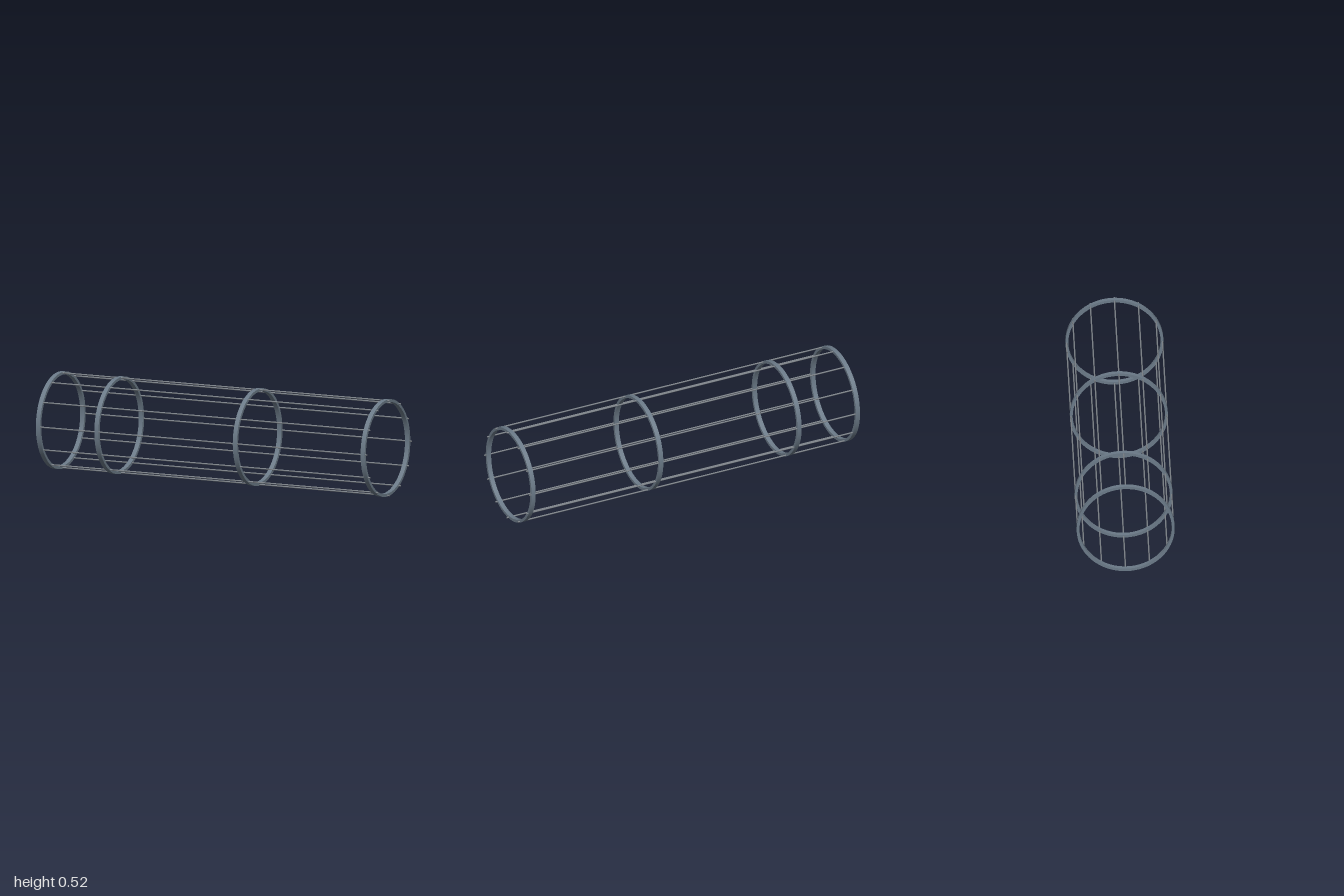
import * as THREE from 'three';
import { toCreasedNormals } from 'three/addons/utils/BufferGeometryUtils.js';

const OUTER = 0.2625, INNER = 0.2473, HALF_WIDTH = 0.0125;
const ROD_CIRCLE = 0.257, ROD_RADIUS = 0.004, ROD_COUNT = 12;

export function createModel() {
  const group = new THREE.Group();
  group.name = 'cylindricalCage';

  const hoopSteel = new THREE.MeshStandardMaterial({ color: 0x6b7a88 });
  hoopSteel.name = 'hoop steel';
  const rodSteel = new THREE.MeshStandardMaterial({ color: 0x7c8288 });
  rodSteel.name = 'rod steel';

  // Hoops: flat bands with a rectangular section, axis along x
  const section = [
    [OUTER, -HALF_WIDTH], [OUTER, HALF_WIDTH], [INNER, HALF_WIDTH],
    [INNER, -HALF_WIDTH], [OUTER, -HALF_WIDTH],
  ].map(([r, y]) => new THREE.Vector2(r, y));
  const hoopGeometry = toCreasedNormals(new THREE.LatheGeometry(section, 96), Math.PI / 5);
  hoopGeometry.rotateZ(-Math.PI / 2);
  [-0.9875, -0.634, 0.203, 0.976].forEach((x, i) => {
    const hoop = new THREE.Mesh(hoopGeometry, hoopSteel);
    hoop.name = `hoop${i + 1}`;
    hoop.position.set(x, OUTER, 0);
    group.add(hoop);
  });

  // Long rods: spaced evenly round the hoops, projecting slightly at the left end
  const start = -0.995, end = 1;
  const rodGeometry = new THREE.CylinderGeometry(ROD_RADIUS, ROD_RADIUS, end - start, 12);
  rodGeometry.rotateZ(-Math.PI / 2);
  for (let i = 0; i < ROD_COUNT; i++) {
    const a = (i / ROD_COUNT) * Math.PI * 2;
    const rod = new THREE.Mesh(rodGeometry, rodSteel);
    rod.name = `rod${i + 1}`;
    rod.position.set((start + end) / 2, OUTER + ROD_CIRCLE * Math.cos(a), ROD_CIRCLE * Math.sin(a));
    group.add(rod);
  }

  return group;
}
